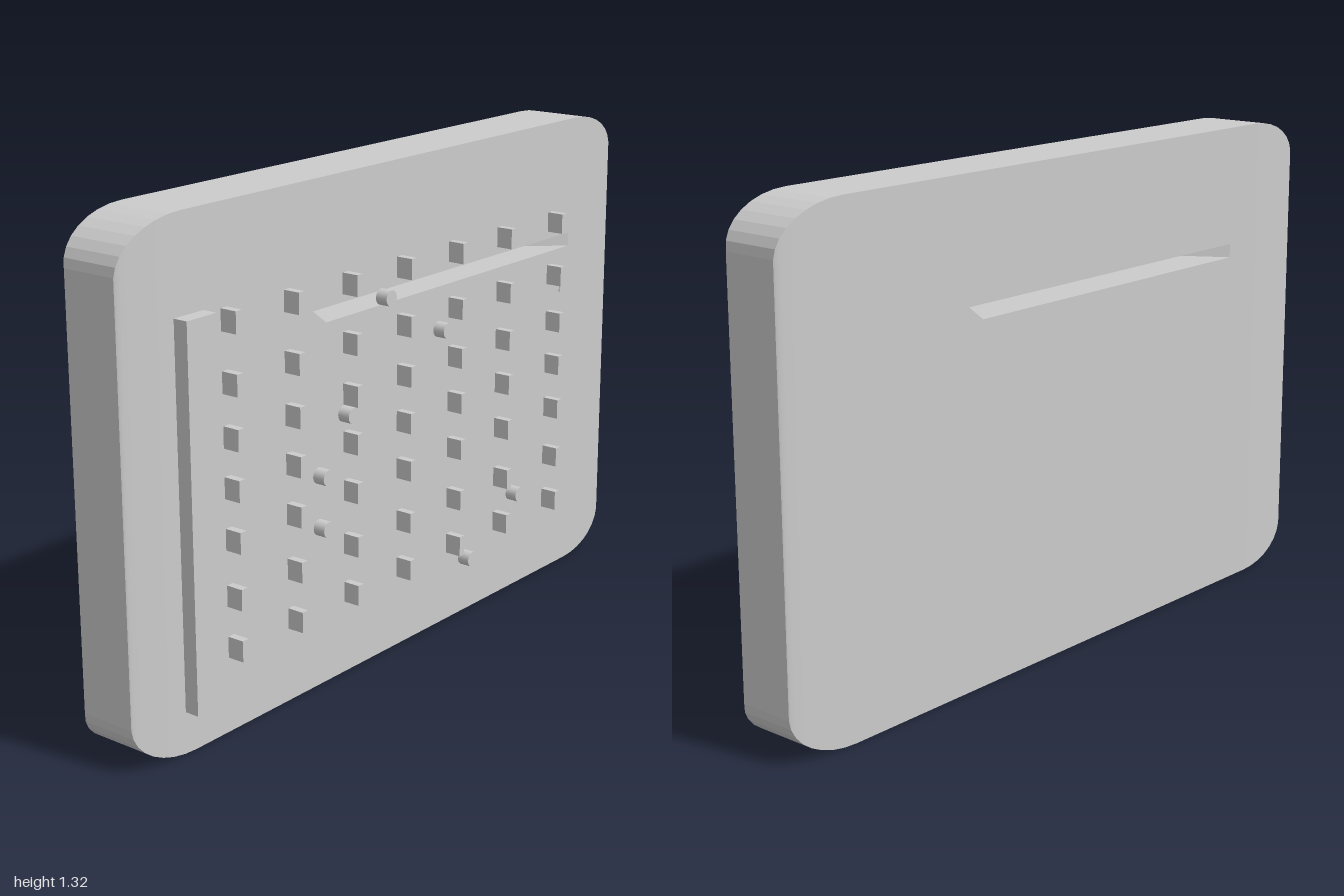
import * as THREE from 'three';
import { mergeGeometries, mergeVertices } from 'three/addons/utils/BufferGeometryUtils.js';

const MID_Y = 0.66, MID_Z = -0.023, FRONT = 0.069, BACK = -0.115;
const HALF_DEPTH = (FRONT - BACK) / 2;

// corner sweep: x, half height and half depth all ease in together
const STEPS = 8;
const sweep = Array.from({ length: STEPS + 1 }, (_, i) => {
  const a = (i / STEPS) * Math.PI / 2;
  return { x: 0.8 + 0.2 * Math.sin(a), h: 0.54 + 0.12 * Math.cos(a), d: HALF_DEPTH - 0.015 * (1 - Math.cos(a)) };
});

// slot corners, ordered top left, bottom left, bottom right, top right
const slotFront = [[-0.35, 0.995], [-0.3, 0.957], [0.777, 0.957], [0.777, 0.995]];
const slotBack = [[-0.69, 0.995], [-0.69, 0.957], [0.34, 0.957], [0.39, 0.995]];

function quadGeometry(quads) {
  const pos = [];
  for (const [a, b, c, d] of quads) pos.push(...a, ...b, ...c, ...a, ...c, ...d);
  const g = new THREE.BufferGeometry();
  g.setAttribute('position', new THREE.Float32BufferAttribute(pos, 3));
  return g;
}

// large face (t = 1 front, t = -1 back): flat middle with a slot, bowed ends
function faceGeometry(t, slot) {
  const v = (x, y) => new THREE.Vector2(x * t, y);
  const shape = new THREE.Shape([v(-0.8, 0), v(0.8, 0), v(0.8, 1.32), v(-0.8, 1.32)]);
  shape.holes.push(new THREE.Path(slot.map(([x, y]) => v(x, y))));
  const middle = new THREE.ShapeGeometry(shape).toNonIndexed();
  middle.deleteAttribute('uv');
  middle.deleteAttribute('normal');
  if (t < 0) middle.rotateY(Math.PI);
  middle.translate(0, 0, MID_Z + t * HALF_DEPTH);

  const quads = [];
  for (const s of [1, -1]) {
    for (let i = 0; i < STEPS; i++) {
      const p = (k, up) => [s * k.x, MID_Y + up * k.h, MID_Z + t * k.d];
      const a = sweep[i], b = sweep[i + 1];
      const q = [p(a, -1), p(b, -1), p(b, 1), p(a, 1)];
      quads.push(s * t > 0 ? q : q.reverse());
    }
  }
  const g = mergeVertices(mergeGeometries([middle, quadGeometry(quads)]), 1e-4);
  g.computeVertexNormals();
  return g;
}

// outer edge of the panel, faceted around the corners
function rimGeometry() {
  const corner = (sx, sy) => sweep.map(k => ({ x: sx * k.x, y: MID_Y + sy * k.h, d: k.d }));
  const loop = [...corner(1, -1), ...corner(1, 1).reverse(), ...corner(-1, 1), ...corner(-1, -1).reverse()];
  const p = (k, t) => [k.x, k.y, MID_Z + t * k.d];
  return quadGeometry(loop.map((a, i) => {
    const b = loop[(i + 1) % loop.length];
    return [p(a, -1), p(b, -1), p(b, 1), p(a, 1)];
  }));
}

// inner walls of the slot, slanting sideways through the panel
function slotGeometry() {
  return quadGeometry(slotFront.map((f, i) => {
    const j = (i + 1) % 4;
    return [[...f, FRONT], [...slotFront[j], FRONT], [...slotBack[j], BACK], [...slotBack[i], BACK]];
  }));
}

export function createModel() {
  const group = new THREE.Group();
  const smooth = new THREE.MeshStandardMaterial({ color: 0xcccccc });
  const flat = new THREE.MeshStandardMaterial({ color: 0xcccccc, flatShading: true });

  const add = (name, geometry, material, parent = group) => {
    if (!geometry.attributes.normal) geometry.computeVertexNormals();
    const mesh = new THREE.Mesh(geometry, material);
    mesh.name = name;
    parent.add(mesh);
    return mesh;
  };
  const section = name => {
    const g = new THREE.Group();
    g.name = name;
    group.add(g);
    return g;
  };

  // panel
  const panel = section('panel');
  add('panelFront', faceGeometry(1, slotFront), smooth, panel);
  add('panelBack', faceGeometry(-1, slotBack), smooth, panel);
  add('panelRim', rimGeometry(), flat, panel);
  add('slotWalls', slotGeometry(), flat, panel);

  // tall bar on the right side of the front
  add('sideBar', new THREE.BoxGeometry(0.098, 0.968, 0.04), flat).position.set(-0.784, 0.594, 0.089);

  // grid of small blocks
  const blocks = section('blocks');
  const block = new THREE.BoxGeometry(0.021, 0.055, 0.047);
  for (const x of [-0.668, -0.446, -0.225, -0.006, 0.216, 0.437, 0.683])
    for (const y of [1.043, 0.892, 0.758, 0.632, 0.502, 0.357, 0.224])
      add('block', block, flat, blocks).position.set(x, y, 0.0925);

  // round pegs standing just clear of the panel
  const pegs = section('pegs');
  const peg = new THREE.CylinderGeometry(0.021, 0.021, 0.034, 24).rotateX(Math.PI / 2);
  const spots = [[-0.1, 0.985], [0.142, 0.849], [-0.252, 0.714], [-0.351, 0.577],
    [-0.351, 0.44], [0.265, 0.17], [0.49, 0.296]];
  for (const [x, y] of spots) add('peg', peg, smooth, pegs).position.set(x, y, 0.1);

  // tiny raised marker
  add('marker', new THREE.BoxGeometry(0.011, 0.037, 0.006), flat).position.set(0.742, 0.848, 0.069);

  return group;
}
